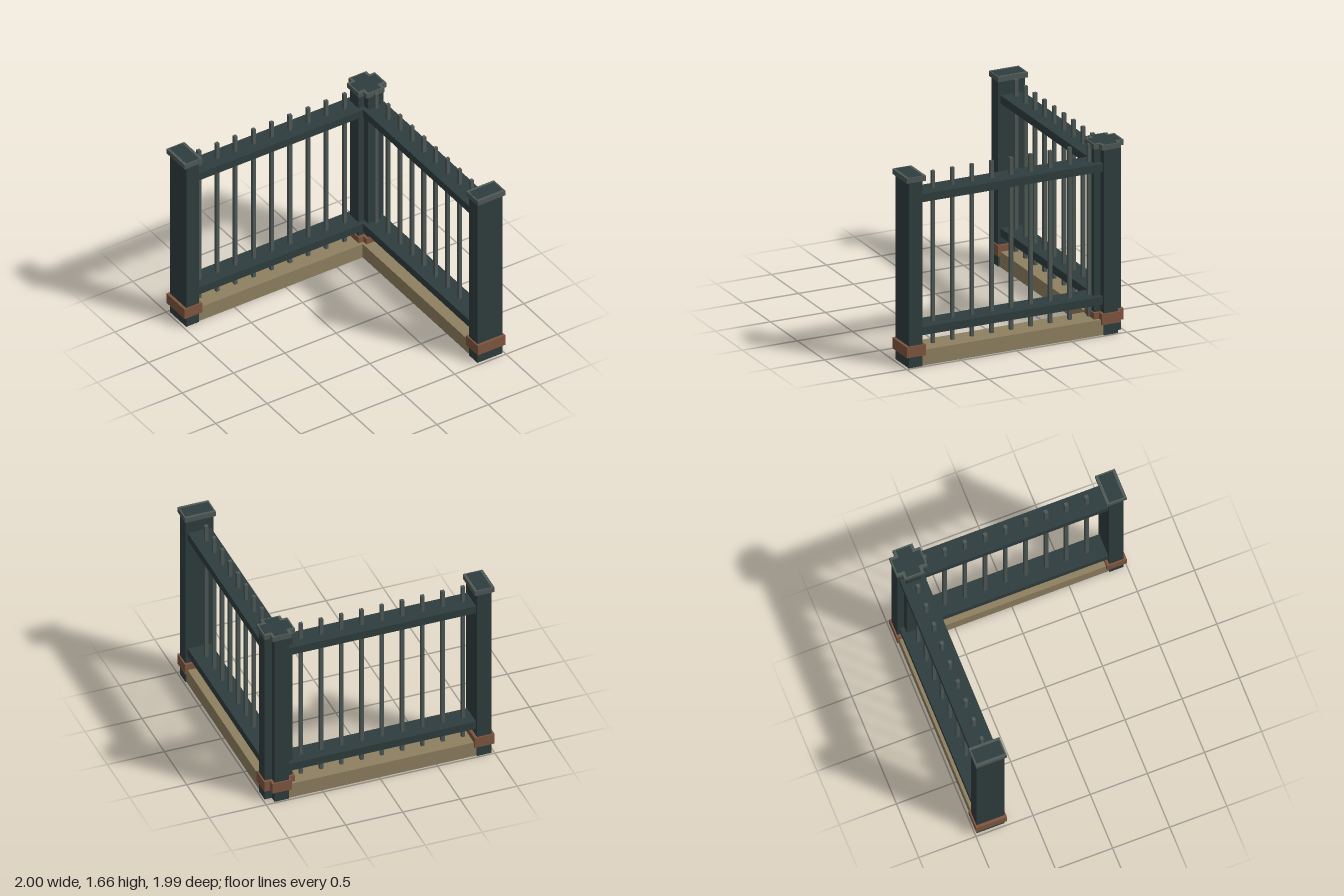
import * as THREE from 'three';

const material = (color) => new THREE.MeshStandardMaterial({ color });

export function createModel() {
  const dark = material(0x2f3d3e);
  const grey = material(0x4e5956);
  const copper = material(0x7f563f);
  const wood = material(0x8f8060);

  const SPAN = 1.772; // distance between post centres
  const POST = 0.125, DEPTH = 0.245;

  // Box given by centre x, bottom and top, width and depth
  function box(parent, name, mat, x, y0, y1, w, d) {
    const mesh = new THREE.Mesh(new THREE.BoxGeometry(w, y1 - y0, d), mat);
    mesh.name = name;
    mesh.position.set(x, (y0 + y1) / 2, 0);
    parent.add(mesh);
  }

  // One straight fence section along x, starting at its first post
  function fenceSection(name) {
    const section = new THREE.Group();
    section.name = name;
    for (const x of [0, SPAN]) {
      const post = new THREE.Group();
      post.name = 'post';
      box(post, 'postShaft', dark, x, 0, 1.656, POST, DEPTH);
      box(post, 'postCap', grey, x, 1.61, 1.655, 0.173, 0.27);
      box(post, 'postCollar', copper, x, 0.095, 0.19, 0.173, 0.27);
      section.add(post);
    }
    const mid = SPAN / 2, clear = SPAN - POST;
    box(section, 'lowerRail', dark, mid, 0.26, 0.33, clear, 0.205);
    box(section, 'upperRail', dark, mid, 1.415, 1.485, clear, 0.205);
    box(section, 'baseBeam', wood, mid, 0, 0.135, clear, 0.225);

    // Balusters pass through both rails
    for (let i = 0; i < 9; i++) {
      box(section, 'baluster', grey, 0.139 + i * 0.1773, 0.14, 1.635, 0.03, 0.03);
    }
    return section;
  }

  const model = new THREE.Group();
  model.name = 'cornerFence';

  const back = fenceSection('backSection');
  back.position.set(-0.913, 0, -0.863);

  // Side section runs from the rear corner to the front
  const side = fenceSection('sideSection');
  side.rotation.y = -Math.PI / 2;
  side.position.set(0.862, 0, -0.862);

  model.add(back, side);
  return model;
}
